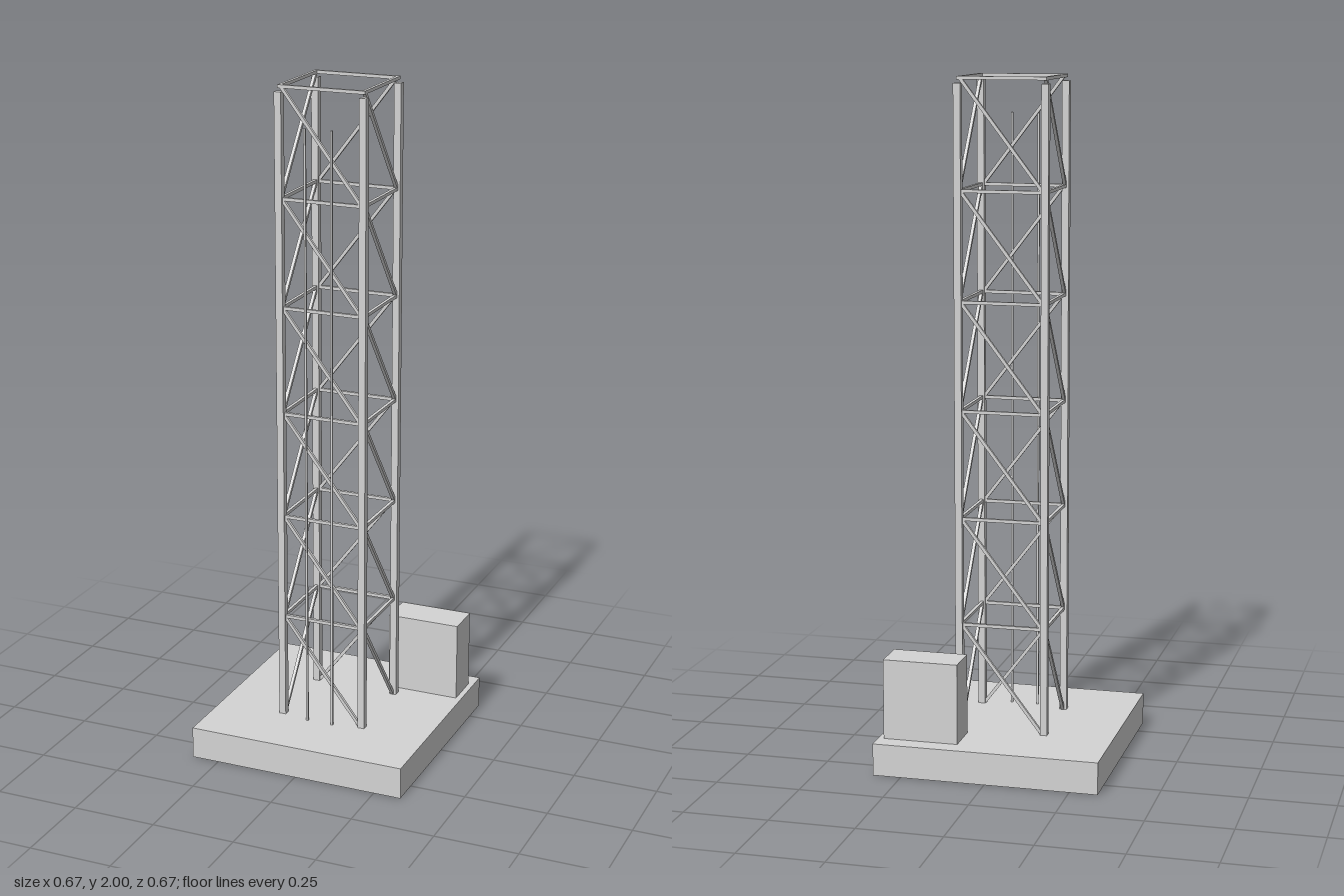
import * as THREE from 'three';

export function createModel() {
  const model = new THREE.Group();
  model.name = 'latticeTower';
  const grey = new THREE.MeshStandardMaterial({ color: 0xd4d4d4 });
  grey.name = 'lightGrey';

  const addBox = (parent, name, w, h, d, x, y, z) => {
    const mesh = new THREE.Mesh(new THREE.BoxGeometry(w, h, d), grey);
    mesh.name = name;
    mesh.position.set(x, y, z);
    parent.add(mesh);
    return mesh;
  };

  const baseTop = 0.095; // top of the foundation
  const half = 0.126;    // tower centreline to face
  const bar = 0.0095;    // bracing thickness
  const bays = 6;
  const topRail = 2 - bar / 2;
  const bayHeight = (topRail - baseTop) / bays;

  // Foundation and equipment cabinet
  addBox(model, 'foundation', 0.666, baseTop, 0.666, 0, baseTop / 2, 0);
  addBox(model, 'cabinet', 0.222, 0.238, 0.111, 0.2055, baseTop + 0.119, -0.2225);

  // Corner legs
  const legHeight = 1.981 - baseTop;
  for (const x of [-1, 1]) for (const z of [-1, 1]) {
    addBox(model, 'leg', 0.021, legHeight, 0.021, x * 0.1275, baseTop + legHeight / 2, z * 0.1275);
  }

  // Four braced faces: every bay has a rail on top and one diagonal falling to the right
  const span = 2 * half - bar;
  const diagonal = Math.hypot(span, bayHeight);
  const lean = Math.atan2(bayHeight, span);
  for (let side = 0; side < 4; side++) {
    const face = new THREE.Group();
    face.name = 'bracedFace';
    face.rotation.y = side * Math.PI / 2;
    for (let i = 0; i < bays; i++) {
      const y = baseTop + i * bayHeight;
      addBox(face, 'rail', 2 * half + bar, bar, bar, 0, y + bayHeight, half);
      addBox(face, 'diagonal', diagonal, bar, bar, 0, y + bayHeight / 2, half).rotation.z = -lean;
    }
    model.add(face);
  }

  // Cable runs in front of the tower
  const cableHeight = 1.888 - baseTop;
  for (const x of [-0.04, 0.04]) {
    addBox(model, 'cable', 0.006, cableHeight, 0.006, x, baseTop + cableHeight / 2, 0.1495);
  }
  return model;
}
